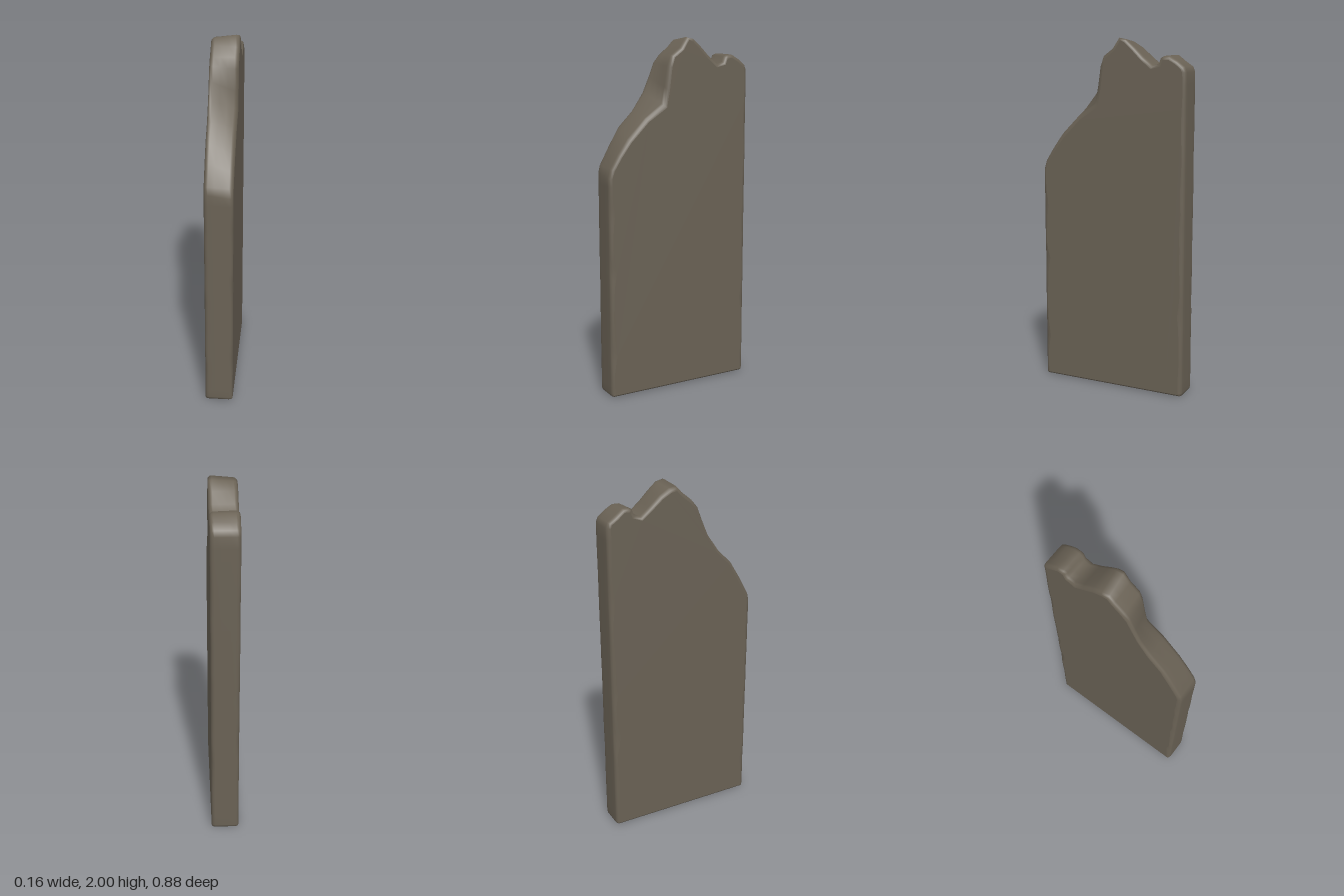
import * as THREE from 'three';

const HALF = 0.078;

// Broken top edge, front to back: [z, y] on the right (-x) face, then on the left (+x) face
const TOP = [
  [0.44, 1.27, 0.44, 1.25], [0.43, 1.31, 0.425, 1.30], [0.37, 1.42, 0.38, 1.37],
  [0.31, 1.52, 0.32, 1.45], [0.23, 1.60, 0.21, 1.56], [0.165, 1.70, 0.10, 1.63],
  [0.125, 1.79, 0.085, 1.72], [0.095, 1.86, 0.07, 1.84], [0.06, 1.90, 0.05, 1.90],
  [0.0, 1.95, -0.005, 1.94], [-0.03, 1.98, -0.045, 2.0], [-0.075, 1.975, -0.09, 1.99],
  [-0.13, 1.945, -0.14, 1.945], [-0.19, 1.895, -0.19, 1.895], [-0.245, 1.85, -0.245, 1.85],
  [-0.28, 1.865, -0.28, 1.86], [-0.292, 1.897, -0.29, 1.89], [-0.31, 1.905, -0.31, 1.90],
  [-0.345, 1.905, -0.345, 1.90], [-0.39, 1.87, -0.39, 1.875], [-0.428, 1.845, -0.428, 1.845],
  [-0.44, 1.815, -0.44, 1.815],
];

// Worn chips along the long upright edges: [end, face, height, depth]
const CHIPS = [
  [1, 1, 0.24, 0.012], [1, 1, 0.72, 0.018], [1, 1, 1.05, 0.008], [1, -1, 0.22, 0.012],
  [1, -1, 0.64, 0.010], [1, -1, 1.08, 0.010], [-1, -1, 0.57, 0.025], [-1, -1, 0.86, 0.015],
  [-1, 1, 0.48, 0.010], [-1, 1, 0.95, 0.012], [-1, -1, 1.4, 0.008],
];

// Closed outline, running up the front, over the top, down the back and along the base
function stations() {
  const list = [];
  const upright = (end, from, to) => {
    for (let i = 1; i < 28; i++) {
      const y = from + (to - from) * i / 28;
      list.push([end * 0.44, y, end * 0.44, y]);
    }
  };
  list.push([0.425, 0, 0.425, 0], [0.436, 0.006, 0.436, 0.006], [0.44, 0.02, 0.44, 0.02]);
  upright(1, 0.02, 1.25);
  list.push(...TOP);
  upright(-1, 1.815, 0.02);
  list.push([-0.44, 0.02, -0.44, 0.02], [-0.436, 0.006, -0.436, 0.006], [-0.425, 0, -0.425, 0]);
  for (let z = -0.34; z < 0.4; z += 0.17) list.push([z, 0, z, 0]);
  return list;
}

// Width of the rounded edge at one point of the outline
function bevel(z, y, face) {
  let r = y < 0.02 ? 0.012 : 0.02;
  if (Math.abs(z) > 0.42 && y > 0.05) {
    r += 0.003 * Math.sin(y * 17 + face * 2 + z * 3);
    for (const [end, side, h, d] of CHIPS) {
      if (end * z > 0 && side === face) r += d * Math.exp(-(((y - h) / 0.05) ** 2));
    }
  }
  return r;
}

function outlineAt(list, x, angle) {
  const t = (x + HALF) / (2 * HALF);
  const mid = list.map(([z0, y0, z1, y1]) =>
    new THREE.Vector2(z0 + (z1 - z0) * t, y0 + (y1 - y0) * t));
  const n = mid.length;
  return mid.map((p, i) => {
    const d = mid[(i + 1) % n].clone().sub(mid[(i + n - 1) % n]).normalize();
    const inset = bevel(p.x, p.y, Math.sign(x)) * (1 - Math.cos(angle));
    return new THREE.Vector2(p.x - d.y * inset, p.y + d.x * inset);
  });
}

// Rounded rim of the slab, lofted from one face to the other
function rimAndFaces() {
  const list = stations(), n = list.length;
  const rows = [];
  const edge = [1, 0.67, 0.33, 0];
  for (const e of edge) {
    const a = e * Math.PI / 2;
    rows.push([-HALF + 0.022 * (1 - Math.sin(a)), a]);
  }
  rows.push([-0.02, 0], [0.02, 0]);
  for (const e of [...edge].reverse()) {
    const a = e * Math.PI / 2;
    rows.push([HALF - 0.022 * (1 - Math.sin(a)), a]);
  }
  const rings = rows.map(([x, a]) => outlineAt(list, x, a));
  const pos = [], idx = [];
  rings.forEach((ring, k) => ring.forEach(p => pos.push(rows[k][0], p.y, p.x)));
  for (let k = 0; k < rings.length - 1; k++) {
    for (let i = 0; i < n; i++) {
      const j = (i + 1) % n;
      const a = k * n + i, b = k * n + j, c = a + n, d = b + n;
      idx.push(a, c, b, b, c, d);
    }
  }
  const rim = new THREE.BufferGeometry();
  rim.setAttribute('position', new THREE.Float32BufferAttribute(pos, 3));
  rim.setIndex(idx);
  rim.computeVertexNormals();
  return { rim, right: face(rings[0], -HALF), left: face(rings[rings.length - 1], HALF) };
}

// Flat broad face filling an outline
function face(ring, x) {
  const g = new THREE.BufferGeometry();
  g.setAttribute('position', new THREE.Float32BufferAttribute(ring.flatMap(p => [x, p.y, p.x]), 3));
  const tris = THREE.ShapeUtils.triangulateShape(ring, []);
  g.setIndex(tris.flatMap(([a, b, c]) => (x < 0 ? [a, b, c] : [a, c, b])));
  g.computeVertexNormals();
  return g;
}

export function createModel() {
  const stone = new THREE.MeshStandardMaterial({ color: 0x6a6255 });
  stone.name = 'stone';
  const group = new THREE.Group();
  group.name = 'brokenStoneSlab';
  const parts = rimAndFaces();
  const names = { rim: 'wornRim', right: 'rightFace', left: 'leftFace' };
  for (const key of Object.keys(names)) {
    const mesh = new THREE.Mesh(parts[key], stone);
    mesh.name = names[key];
    group.add(mesh);
  }
  return group;
}
